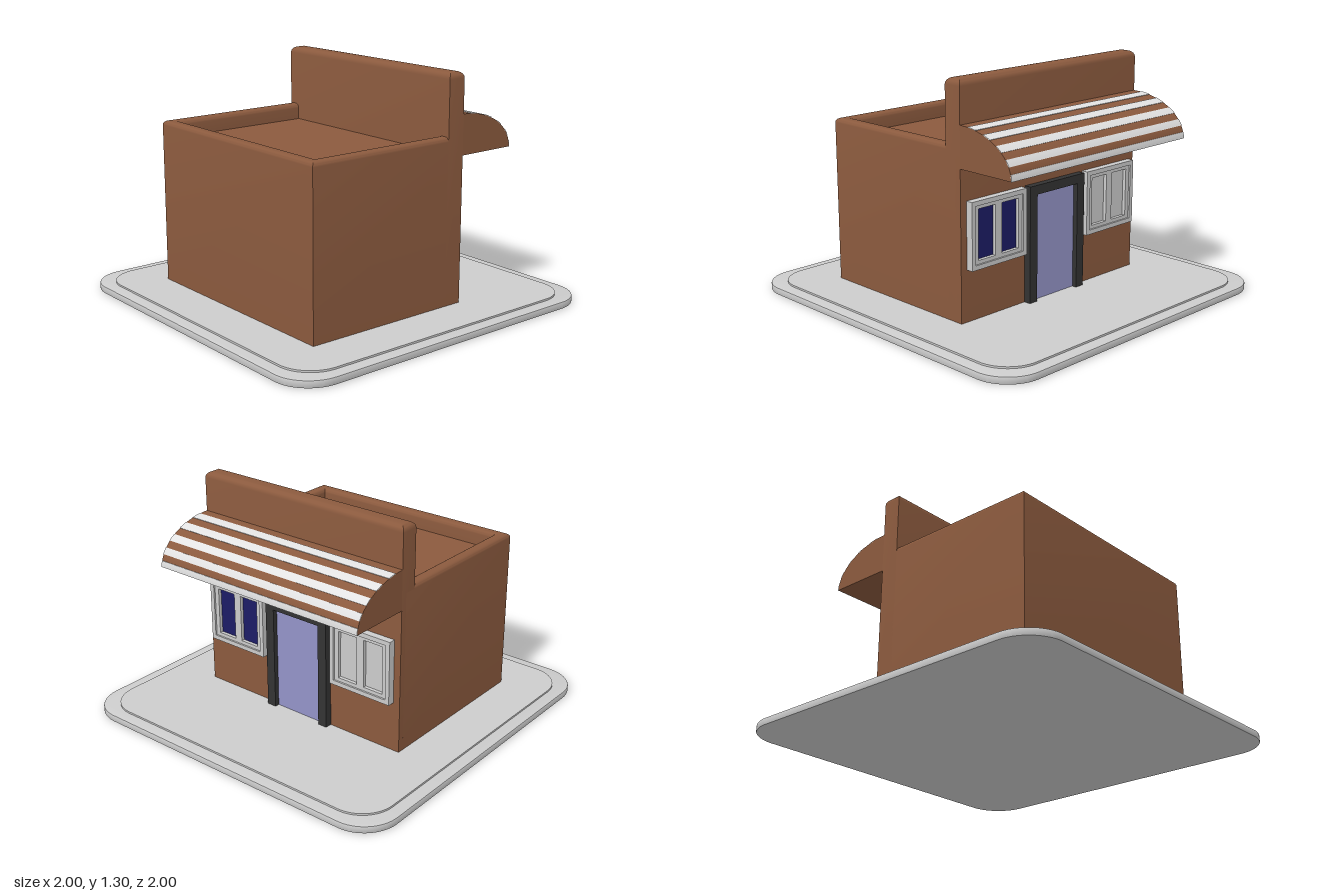
import * as THREE from 'three';
import { toCreasedNormals } from 'three/addons/utils/BufferGeometryUtils.js';

const material = (name, color) => {
  const m = new THREE.MeshStandardMaterial({ color });
  m.name = name;
  return m;
};

// Rectangle path, optionally with rounded corners
function rectangle(x0, y0, x1, y1, r = 0, Kind = THREE.Shape) {
  const s = new Kind();
  if (r === 0) {
    s.moveTo(x0, y0).lineTo(x1, y0).lineTo(x1, y1).lineTo(x0, y1).closePath();
    return s;
  }
  s.absarc(x1 - r, y0 + r, r, -Math.PI / 2, 0);
  s.absarc(x1 - r, y1 - r, r, 0, Math.PI / 2);
  s.absarc(x0 + r, y1 - r, r, Math.PI / 2, Math.PI);
  s.absarc(x0 + r, y0 + r, r, Math.PI, Math.PI * 1.5);
  s.closePath();
  return s;
}

const extrude = (shape, depth, options = {}) =>
  toCreasedNormals(new THREE.ExtrudeGeometry(shape, { depth, bevelEnabled: false, curveSegments: 12, ...options }), 0.5);

// Skin over stacked rectangles [x half width, back z, front z, y], capped at the end
function loft(rings) {
  const p = [];
  const loops = rings.map(([w, back, front, y]) => [[-w, y, front], [w, y, front], [w, y, back], [-w, y, back]]);
  const quad = (a, b, c, d) => p.push(...a, ...b, ...c, ...a, ...c, ...d);
  for (let k = 0; k < loops.length - 1; k++) {
    const lo = loops[k], hi = loops[k + 1];
    for (let i = 0; i < 4; i++) {
      const j = (i + 1) % 4;
      quad(lo[i], lo[j], hi[j], hi[i]);
    }
  }
  quad(...loops[loops.length - 1]);
  const g = new THREE.BufferGeometry();
  g.setAttribute('position', new THREE.Float32BufferAttribute(p, 3));
  return toCreasedNormals(g, 0.6);
}

export function createModel() {
  const model = new THREE.Group();
  const brown = material('brown wall', 0x8b5a3e);
  const grey = material('light grey', 0xcccccc);
  const white = material('awning white', 0xe2e2e2);
  const dark = material('dark door frame', 0x333333);
  const lilac = material('door glass', 0x9494c8);
  const navy = material('window glass', 0x1c1c66);

  const add = (name, geometry, mat, x = 0, y = 0, z = 0, parent = model) => {
    const mesh = new THREE.Mesh(geometry, mat);
    mesh.name = name;
    mesh.position.set(x, y, z);
    parent.add(mesh);
    return mesh;
  };

  const W = 0.665, WALL = -0.335, GROUND = 0.05, STEPS = 5;
  const arc = Array.from({ length: STEPS + 1 }, (_, i) => (i / STEPS) * Math.PI / 2);

  // Ground slab in two tiers
  const b = 0.006;
  const slab = extrude(rectangle(-1 + b, -1 + b, 1 - b, 1 - b, 0.2), 0.04 - 2 * b,
    { bevelEnabled: true, bevelSize: b, bevelThickness: b, bevelSegments: 2 });
  add('groundSlab', slab.rotateX(-Math.PI / 2), grey, 0, b, 0);
  add('pavement', extrude(rectangle(-0.93, -0.93, 0.93, 0.93, 0.19), 0.02).rotateX(-Math.PI / 2), grey, 0, 0.03, 0);

  // Main block: walls, rounded parapet rim and sunken roof
  const r = 0.025, top = 0.97, rim = 0.07, inside = -0.3;
  add('building', loft([
    [W, inside, W, GROUND],
    ...arc.map(a => {
      const inset = r * (1 - Math.cos(a));
      return [W - inset, inside, W - inset, top - r + r * Math.sin(a)];
    }),
    ...arc.map(a => {
      const inset = rim - r + r * Math.sin(a);
      return [W - inset, inside, W - inset, top - r + r * Math.cos(a)];
    }),
    [W - rim, inside, W - rim, 0.88],
  ]), brown);

  // Tall shopfront wall with rounded top
  const R = 0.035;
  add('shopfrontWall', loft([
    [W, WALL, -0.23, GROUND],
    ...arc.map(a => {
      const inset = R * (1 - Math.cos(a));
      return [W - inset, WALL + inset, -0.23 - inset, 1.305 - R + R * Math.sin(a)];
    }),
  ]), brown);

  // Quarter-ellipse awning with ten stripes
  const awning = new THREE.Group();
  awning.name = 'awning';
  model.add(awning);
  const A = 0.353, B = 0.22, LOW = 0.86;
  const ellipsePoint = (a, grow = 0) =>
    new THREE.Vector2((A + grow) * Math.sin(a), LOW + (B + grow) * Math.cos(a));
  const sweep = (from, to, n, grow) =>
    Array.from({ length: n + 1 }, (_, i) => ellipsePoint(from + (to - from) * i / n, grow));
  const body = new THREE.Shape([new THREE.Vector2(0, LOW), ...sweep(0, Math.PI / 2, 30, 0).reverse()]);
  add('awningBody', extrude(body, 2 * W).rotateY(Math.PI / 2), brown, -W, 0, WALL, awning);
  const stripe = Math.PI / 20;
  for (let k = 1; k < 10; k += 2) {
    const from = k * stripe, to = from + stripe;
    const band = new THREE.Shape([...sweep(from, to, 3, -0.002), ...sweep(from, to, 3, 0.003).reverse()]);
    add('awningStripe', extrude(band, 2 * W).rotateY(Math.PI / 2), white, -W, 0, WALL, awning);
  }

  // Stepped window frames with two panes; one side glazed, the other with blank panels
  for (const side of [1, -1]) {
    const win = new THREE.Group();
    win.name = side > 0 ? 'leftWindow' : 'rightWindow';
    win.position.set(side * 0.43, 0.51, WALL);
    model.add(win);
    const w = 0.195, h = 0.18;
    const outer = rectangle(-w, -h, w, h);
    outer.holes.push(rectangle(-w + 0.025, -h + 0.025, w - 0.025, h - 0.025, 0, THREE.Path));
    add('windowFrame', extrude(outer, 0.04), grey, 0, 0, -0.04, win);
    const sash = rectangle(-w + 0.02, -h + 0.02, w - 0.02, h - 0.02);
    for (const s of [-1, 1]) {
      const c = s * 0.083;
      sash.holes.push(rectangle(c - 0.06, -h + 0.045, c + 0.06, h - 0.045, 0, THREE.Path));
      add('windowPane', new THREE.BoxGeometry(0.13, 2 * h - 0.08, 0.008), side > 0 ? navy : grey, c, 0, -0.006, win);
    }
    add('windowSash', extrude(sash, 0.03), grey, 0, 0, -0.03, win);
  }

  // Door with dark surround
  const surround = new THREE.Shape();
  const outline = [[-0.21, 0.05], [-0.155, 0.05], [-0.155, 0.64], [0.155, 0.64],
    [0.155, 0.05], [0.21, 0.05], [0.21, 0.69], [-0.21, 0.69]];
  surround.setFromPoints(outline.map(([x, y]) => new THREE.Vector2(x, y)));
  add('doorFrame', extrude(surround, 0.04), dark, 0, 0, WALL - 0.04);
  add('doorGlass', new THREE.BoxGeometry(0.32, 0.6, 0.009), lilac, 0, 0.35, WALL - 0.008);

  return model;
}
